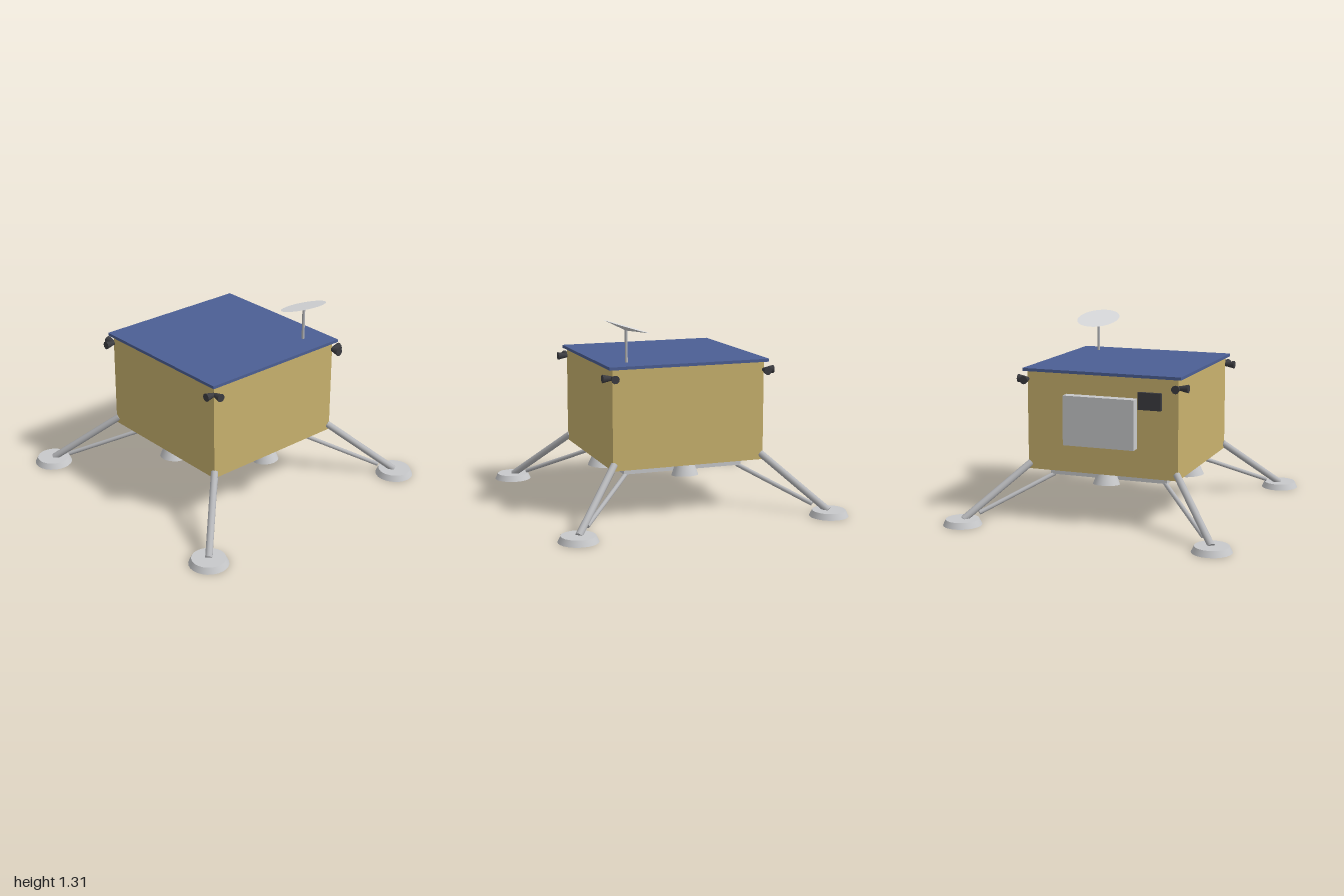
import * as THREE from 'three';

function material(name, color) {
  const m = new THREE.MeshStandardMaterial({ color });
  m.name = name;
  return m;
}

export function createModel() {
  const model = new THREE.Group();
  model.name = 'lander';

  const gold = material('gold foil', 0xc9b26e);
  const blue = material('solar blue', 0x4c5f94);
  const silver = material('silver', 0xc8c9cb);
  const strutGrey = material('strut grey', 0xb6b7ba);
  const white = material('dish white', 0xdadbdd);
  const dark = material('dark grey', 0x3c3c40);

  const add = (name, geometry, mat, x = 0, y = 0, z = 0, parent = model) => {
    const mesh = new THREE.Mesh(geometry, mat);
    mesh.name = name;
    mesh.position.set(x, y, z);
    parent.add(mesh);
    return mesh;
  };

  // Tapered round bar between two points
  const up = new THREE.Vector3(0, 1, 0);
  const bar = (name, a, b, ra, rb, sides, mat, parent = model) => {
    const from = new THREE.Vector3(...a);
    const to = new THREE.Vector3(...b);
    const dir = to.clone().sub(from);
    const mesh = add(name, new THREE.CylinderGeometry(rb, ra, dir.length(), sides), mat, 0, 0, 0, parent);
    mesh.position.copy(from).add(to).multiplyScalar(0.5);
    mesh.quaternion.setFromUnitVectors(up, dir.normalize());
    return mesh;
  };

  // Body, roof panel and underside plate
  add('body', new THREE.BoxGeometry(1.064, 0.67, 1.064), gold, 0, 0.675, 0);
  add('solarPanel', new THREE.BoxGeometry(1.116, 0.02, 1.116), blue, 0, 1.02, 0);
  add('basePlate', new THREE.BoxGeometry(0.84, 0.055, 0.84), silver, 0, 0.3125, 0);

  // Equipment on the back
  add('backBox', new THREE.BoxGeometry(0.5, 0.335, 0.07), silver, 0, 0.7025, -0.567);
  add('sensorBox', new THREE.BoxGeometry(0.16, 0.115, 0.025), dark, -0.34, 0.858, -0.5445);

  // Legs, pads and corner thrusters
  for (const sx of [-1, 1]) {
    for (const sz of [-1, 1]) {
      const corner = new THREE.Group();
      corner.name = 'leg';
      model.add(corner);
      bar('mainStrut', [sx * 0.52, 0.38, sz * 0.52], [sx * 0.865, 0.035, sz * 0.865], 0.024, 0.024, 12, strutGrey, corner);
      bar('braceStrut', [sx * 0.4, 0.285, sz * 0.4], [sx * 0.785, 0.068, sz * 0.785], 0.015, 0.015, 10, strutGrey, corner);
      add('footPad', new THREE.CylinderGeometry(0.112, 0.131, 0.04, 24), silver, sx * 0.869, 0.02, sz * 0.869, corner);

      const thrusters = new THREE.Group();
      thrusters.name = 'cornerThrusters';
      model.add(thrusters);
      const c = [sx * 0.532, 0.955, sz * 0.532];
      bar('thruster', c, [sx * 0.6, 0.955, sz * 0.532], 0.013, 0.028, 10, dark, thrusters);
      bar('thruster', c, [sx * 0.532, 0.955, sz * 0.6], 0.013, 0.028, 10, dark, thrusters);
    }
  }

  // Engine bells: one in the middle, four splayed slightly outwards
  const tilt = 0.087;
  for (const [dx, dz] of [[0, 0], [1, 0], [-1, 0], [0, 1], [0, -1]]) {
    const bell = add('engineBell', new THREE.CylinderGeometry(0.055, 0.091, 0.1, 20), silver, dx * 0.445, 0.307, dz * 0.445);
    bell.rotation.set(-dz * tilt, 0, dx * tilt);
  }

  // Dish antenna on its mast: a shallow cone opening upwards and back
  bar('dishMast', [0.39, 1.03, 0.39], [0.39, 1.25, 0.39], 0.01, 0.01, 10, strutGrey);
  const dish = new THREE.Group();
  dish.name = 'dishAntenna';
  dish.position.set(0.39, 1.265, 0.385);
  dish.rotation.x = -0.3;
  model.add(dish);
  add('dish', new THREE.CylinderGeometry(0.155, 0.004, 0.025, 32), white, 0, -0.0125, 0, dish);

  return model;
}
